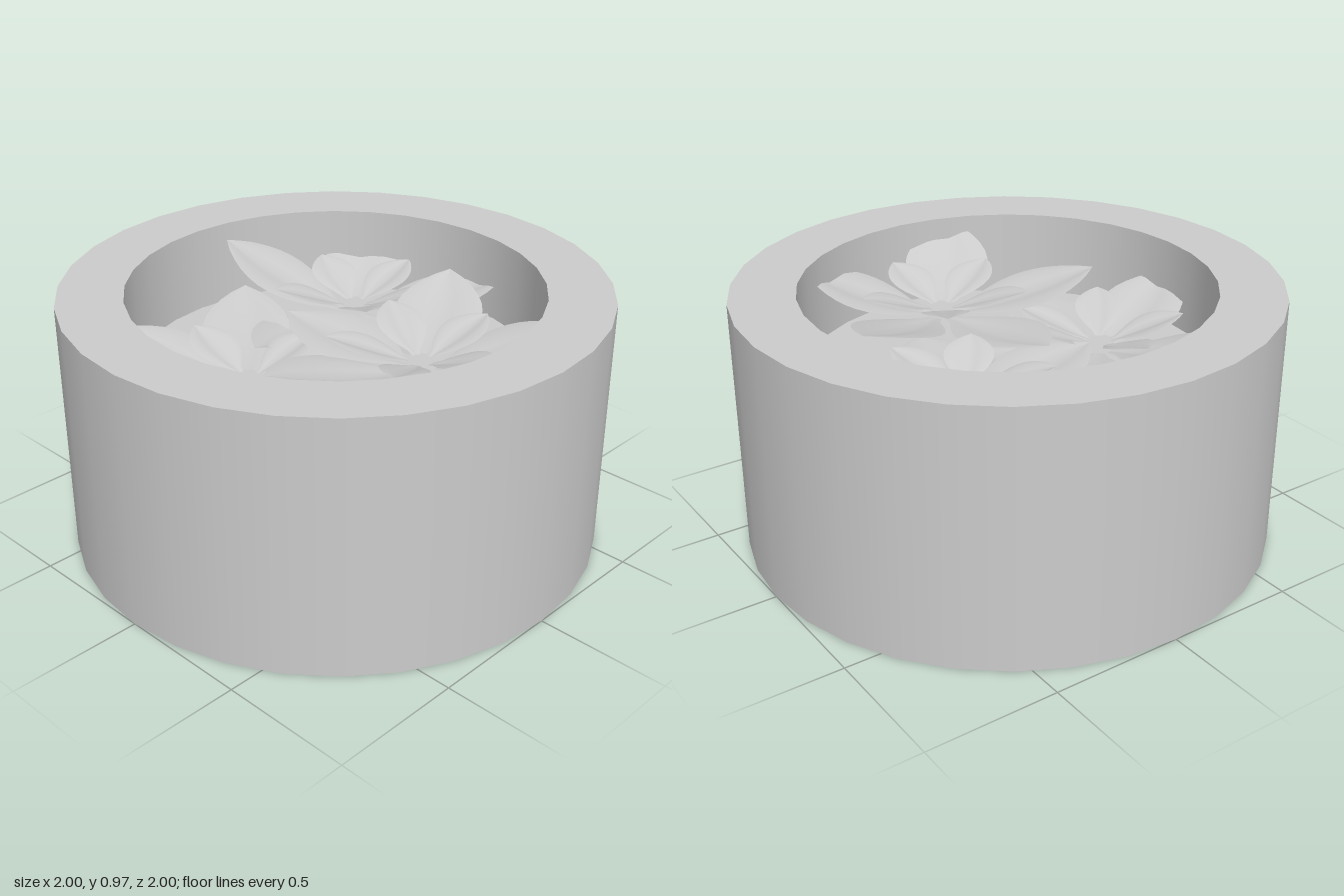
import * as THREE from 'three';

const MAT = new THREE.MeshStandardMaterial({ color: 0xcccccc, side: THREE.DoubleSide });
const OUTER = 1, INNER = 0.76, TOP = 0.97, FLOOR = 0.64, SIDES = 32;

function add(parent, name, geometry, y = 0) {
  const mesh = new THREE.Mesh(geometry, MAT);
  mesh.name = name;
  mesh.position.y = y;
  parent.add(mesh);
  return mesh;
}

// Pointed oval petal from base to tip, with a soft valley along its midrib
function petalGeometry(base, tip, width, cup, curl) {
  const NU = 12, NV = 6;
  const geo = new THREE.PlaneGeometry(1, 1, NV, NU);
  const pos = geo.attributes.position;
  const along = new THREE.Vector3(tip.x - base.x, 0, tip.z - base.z);
  const side = new THREE.Vector3(along.z, 0, -along.x).normalize();
  for (let i = 0; i < pos.count; i++) {
    const v = pos.getX(i) * 2;
    const u = pos.getY(i) + 0.5;
    const outline = Math.pow(Math.max(Math.sin(Math.PI * Math.pow(u, 1.12)), 0), 0.85);
    const half = (width / 2) * Math.max(outline, 0.16 * (1 - u));
    const y = base.y + (tip.y - base.y) * Math.pow(u, 1.25)
      + curl * Math.sin(Math.PI * u)
      + cup * outline * (Math.pow(Math.abs(v), 1.3) - 0.6 * v ** 4);
    pos.setXYZ(i, base.x + along.x * u + side.x * half * v, y,
      base.z + along.z * u + side.z * half * v);
  }
  geo.computeVertexNormals();
  return geo;
}

// Centre of each flower, tips of its large petals [x, y, z] and of its small petals [x, z]
const FLOWERS = [
  {
    name: 'leftFlower', centre: [-0.35, 0.69, -0.1],
    large: [[-0.55, 0.8, -0.57], [0.08, 0.77, -0.58], [-0.84, 0.81, 0.08], [-0.39, 0.68, 0.49], [0.18, 0.69, 0.06]],
    small: [[-0.32, -0.42], [-0.64, -0.24], [-0.54, 0.16], [-0.17, 0.18], [-0.05, -0.06]],
  },
  {
    name: 'rightFlower', centre: [0.34, 0.72, -0.23],
    large: [[0.14, 0.9, -0.75], [0.69, 0.82, -0.52], [0.83, 0.78, 0.12], [-0.24, 0.74, -0.18], [0.2, 0.7, 0.3]],
    small: [[0.45, -0.52], [0.66, -0.23], [0.46, 0.06], [0.16, 0.0], [0.07, -0.4]],
  },
  {
    name: 'frontFlower', centre: [0.06, 0.77, 0.36],
    large: [[-0.02, 0.8, -0.23], [0.57, 0.88, 0.06], [-0.53, 0.86, 0.18], [-0.26, 0.93, 0.8], [0.46, 0.89, 0.72]],
    small: [[0.22, 0.06], [0.38, 0.4], [0.09, 0.67], [-0.24, 0.5], [-0.17, 0.11]],
  },
];

function createFlower({ name, centre, large, small }) {
  const flower = new THREE.Group();
  flower.name = name;
  const c = new THREE.Vector3(...centre);
  // Start each petal a little way out from the centre
  const startPoint = (tip, r, y) => {
    const d = new THREE.Vector3(tip.x - c.x, 0, tip.z - c.z).setLength(r);
    return new THREE.Vector3(c.x + d.x, y, c.z + d.z);
  };
  large.forEach((t) => {
    const tip = new THREE.Vector3(...t);
    add(flower, 'largePetal', petalGeometry(startPoint(tip, 0.05, c.y - 0.03), tip, 0.33, 0.04, -0.01));
  });
  small.forEach(([x, z]) => {
    const tip = new THREE.Vector3(x, c.y + 0.09, z);
    add(flower, 'smallPetal', petalGeometry(startPoint(tip, 0.045, c.y), tip, 0.18, 0.035, 0.005));
  });
  // Small flat heart of the flower
  const heart = add(flower, 'flowerCentre', new THREE.CircleGeometry(0.06, 10).rotateX(-Math.PI / 2), c.y);
  heart.position.x = c.x;
  heart.position.z = c.z;
  return flower;
}

export function createModel() {
  const model = new THREE.Group();
  model.name = 'flowerBowl';

  // Thick bowl, hollow from below
  const wall = (r, y0, y1) => new THREE.CylinderGeometry(r, r, y1 - y0, SIDES, 1, true).translate(0, (y0 + y1) / 2, 0);
  add(model, 'outerWall', wall(OUTER, 0, TOP));
  add(model, 'innerWall', wall(INNER, FLOOR, TOP));
  add(model, 'rim', new THREE.RingGeometry(INNER, OUTER, SIDES).rotateX(-Math.PI / 2), TOP);
  add(model, 'bowlFloor', new THREE.CircleGeometry(INNER, SIDES).rotateX(-Math.PI / 2), FLOOR);

  FLOWERS.forEach((f) => model.add(createFlower(f)));
  return model;
}
